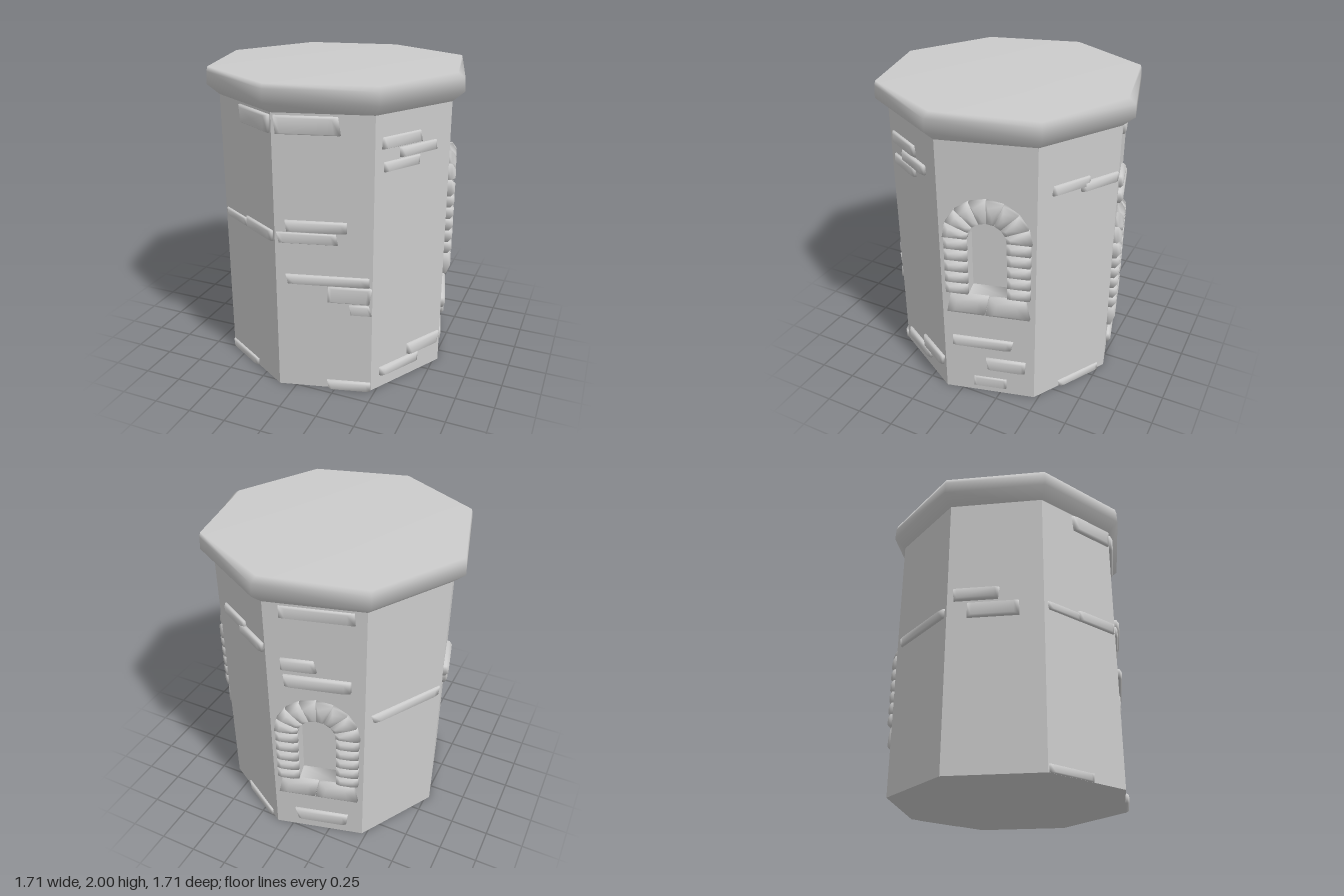
import * as THREE from 'three';

const R = 0.785, SIDES = 8, TURN = THREE.MathUtils.degToRad(8), STEP = Math.PI / 4;
const APOTHEM = R * Math.cos(STEP / 2), HALF = R * Math.sin(STEP / 2);
const WALL_TOP = 1.83;
const material = new THREE.MeshStandardMaterial({ color: 0xcccccc, side: THREE.DoubleSide });

let seed = 7;
const jitter = (a) => { seed = (seed * 16807) % 2147483647; return (seed / 2147483647 - 0.5) * 2 * a; };

function add(parent, name, geometry) {
  const mesh = new THREE.Mesh(geometry, material);
  mesh.name = name;
  parent.add(mesh);
  return mesh;
}

// Pillow-shaped stone: a counter-clockwise quad lofted outward through shrinking rings
function stoneGeometry(quad, height, shrink = 0.55) {
  const cx = quad.reduce((s, p) => s + p[0], 0) / 4;
  const cy = quad.reduce((s, p) => s + p[1], 0) / 4;
  const rings = [[1, -0.01], [0.97, height * 0.5], [shrink, height]];
  const pos = [], idx = [];
  for (const [k, z] of rings)
    for (const [x, y] of quad) pos.push(cx + (x - cx) * k, cy + (y - cy) * k, z);
  pos.push(cx, cy, height);
  for (let i = 0; i < 4; i++) {
    const j = (i + 1) % 4;
    for (let r = 0; r < 2; r++) {
      const a = r * 4 + i, b = r * 4 + j;
      idx.push(a, b, b + 4, a, b + 4, a + 4);
    }
    idx.push(8 + i, 8 + j, 12);
  }
  const g = new THREE.BufferGeometry();
  g.setAttribute('position', new THREE.Float32BufferAttribute(pos, 3));
  g.setIndex(idx);
  g.computeVertexNormals();
  return g;
}

// Round-headed opening outline, centred on x = 0
function archPath(Type, sill, w, spring) {
  const p = new Type();
  p.moveTo(-w, sill);
  p.lineTo(w, sill);
  p.lineTo(w, spring);
  p.absarc(0, spring, w, 0, Math.PI, false);
  p.lineTo(-w, sill);
  return p;
}

// Niche and the ring of stones round it
function addWindow(face, sill) {
  const w = 0.122, outer = 0.27, spring = sill + 0.4, depth = 0.1;
  const win = new THREE.Group();
  win.name = 'window';
  face.add(win);

  const pts = archPath(THREE.Shape, sill, w, spring).getPoints(10);
  const reveal = new THREE.PlaneGeometry(1, 1, pts.length - 1, 1);
  const p = reveal.attributes.position;
  for (let i = 0; i < p.count; i++) {
    const q = pts[i % pts.length];
    p.setXYZ(i, q.x, q.y, i < pts.length ? 0.01 : -depth);
  }
  reveal.computeVertexNormals();
  add(win, 'windowReveal', reveal);
  add(win, 'windowBack', new THREE.ShapeGeometry(archPath(THREE.Shape, sill, w, spring), 10)).position.z = -depth;

  // jamb stones
  for (const s of [-1, 1]) for (let i = 0; i < 5; i++) {
    const y0 = sill + i * 0.08, y1 = y0 + 0.08;
    const a = s > 0 ? w : -outer, b = s > 0 ? outer : -w;
    add(win, 'jambStone', stoneGeometry([[a, y0], [b, y0], [b, y1], [a, y1]], 0.05));
  }
  // arch stones
  const n = 8;
  for (let i = 0; i < n; i++) {
    const a0 = Math.PI * i / n, a1 = Math.PI * (i + 1) / n, top = 0.278;
    const at = (r, a) => [r * Math.cos(a), spring + r * Math.sin(a)];
    add(win, 'archStone', stoneGeometry([at(w, a0), at(top, a0), at(top, a1), at(w, a1)], 0.05));
  }
  // two sill stones
  const y = sill - 0.15;
  add(win, 'sillStone', stoneGeometry([[-outer, y], [-0.02, y], [0.01, sill], [-outer + 0.03, sill]], 0.05));
  add(win, 'sillStone', stoneGeometry([[-0.02, y], [outer, y], [outer - 0.03, sill], [0.01, sill]], 0.05));
}

// Exposed bricks and ledges per wall: [left, right, bottom, top, relief]
const BRICKS = [
  [[-0.24, 0.05, 1.62, 1.69, 0.025], [-0.12, 0.18, 1.55, 1.61, 0.03], [-0.24, 0.04, 1.48, 1.54, 0.025],
    [-0.24, 0.1, 0.09, 0.15, 0.03], [0.0, 0.28, 0.16, 0.24, 0.03]],
  [[-0.29, 0.1, 1.7, 1.81, 0.03], [-0.24, 0.14, 1.1, 1.17, 0.035], [-0.29, 0.08, 1.02, 1.09, 0.02],
    [-0.24, 0.29, 0.75, 0.81, 0.03], [0.02, 0.29, 0.63, 0.74, 0.02], [0.16, 0.29, 0.55, 0.62, 0.02],
    [0.02, 0.3, 0, 0.06, 0.03]],
  [[-0.04, 0.3, 1.7, 1.81, 0.03], [-0.27, -0.02, 1.02, 1.07, 0.02], [-0.02, 0.29, 1.02, 1.09, 0.025],
    [-0.29, 0.04, 0, 0.05, 0.02]],
  [[-0.27, 0.02, 1.1, 1.18, 0.035], [-0.18, 0.15, 0.98, 1.08, 0.03]],
  [[-0.25, 0.28, 1.0, 1.06, 0.025]],
  [[-0.2, 0.22, 1.25, 1.33, 0.035], [-0.22, 0.0, 1.37, 1.45, 0.03], [-0.2, 0.24, 1.73, 1.81, 0.02],
    [-0.16, 0.2, 0.08, 0.17, 0.03]],
  [[-0.2, 0.08, 1.5, 1.56, 0.025], [0.0, 0.28, 1.47, 1.53, 0.03], [-0.1, 0.25, 0, 0.05, 0.02]],
  [[-0.24, 0.16, 0.38, 0.45, 0.03], [-0.02, 0.24, 0.2, 0.29, 0.03], [-0.12, 0.12, 0.04, 0.12, 0.015]],
];
const SILLS = { 5: 0.48, 7: 0.8 };

function buildWall(i) {
  const face = new THREE.Group();
  face.name = 'wall';
  const angle = TURN + STEP * (i + 0.5);
  face.rotation.y = Math.PI / 2 - angle;
  face.position.set(APOTHEM * Math.cos(angle), 0, APOTHEM * Math.sin(angle));

  const panel = new THREE.Shape();
  panel.moveTo(-HALF, 0).lineTo(HALF, 0).lineTo(HALF, WALL_TOP).lineTo(-HALF, WALL_TOP).closePath();
  if (SILLS[i]) {
    panel.holes.push(archPath(THREE.Path, SILLS[i], 0.122, SILLS[i] + 0.4));
    addWindow(face, SILLS[i]);
  }
  add(face, 'wallPanel', new THREE.ShapeGeometry(panel, 10));

  for (const [l, r, b, t, h] of BRICKS[i]) {
    const j = () => jitter(0.012);
    add(face, 'brick', stoneGeometry([[l + j(), b], [r + j(), b], [r + j(), t], [l + j(), t]], h, 0.8));
  }
  return face;
}

// Overhanging cap slab with two chipped corners
function capGeometry() {
  const profile = [[0.77, 1.81], [0.862, 1.89], [0.858, 1.97], [0.85, 2], [0, 2]];
  const g = new THREE.LatheGeometry(profile.map(([x, y]) => new THREE.Vector2(x, y)), SIDES, Math.PI / 2 - TURN);
  const p = g.attributes.position;
  for (let i = 0; i < p.count; i++) {
    const x = p.getX(i), z = p.getZ(i);
    const chipped = (x > 0.8 && z > 0) || (z < -0.8 && x > 0);
    if (chipped && p.getY(i) > 1.99) p.setXYZ(i, x * 0.955, 2, z * 0.955);
  }
  return g;
}

export function createModel() {
  const tower = new THREE.Group();
  tower.name = 'tower';
  for (let i = 0; i < SIDES; i++) tower.add(buildWall(i));
  add(tower, 'capSlab', capGeometry());
  const base = add(tower, 'base', new THREE.CircleGeometry(R, SIDES, TURN));
  base.rotation.x = Math.PI / 2;
  return tower;
}
